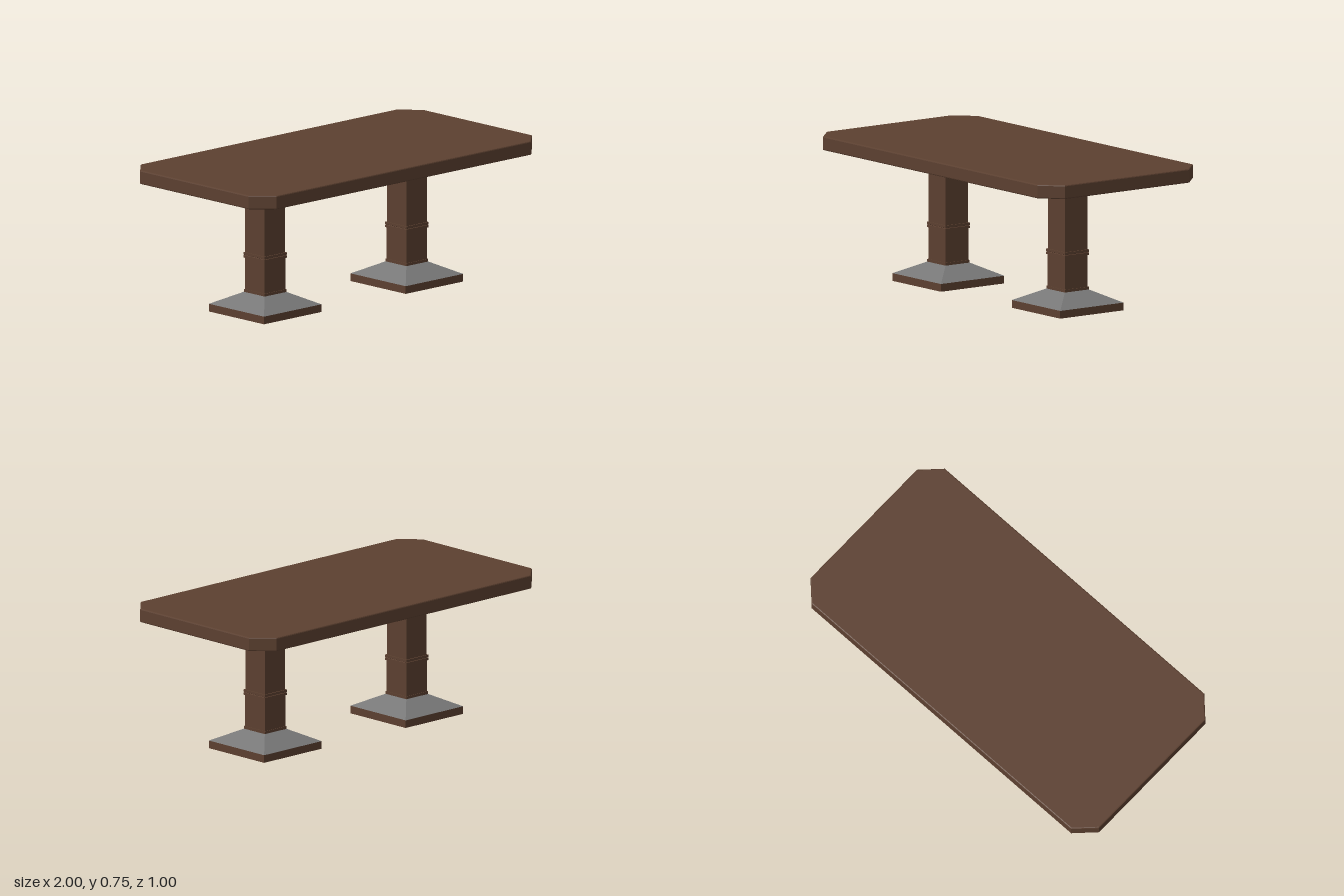
import * as THREE from 'three';

const material = (color) =>
  new THREE.MeshStandardMaterial({ color, flatShading: true, side: THREE.DoubleSide });

// Square turned part: profile of [half width, height], listed from bottom to top
function squareLathe(name, profile, mat) {
  const points = profile.map(([half, y]) => new THREE.Vector2(half * Math.SQRT2, y));
  const mesh = new THREE.Mesh(new THREE.LatheGeometry(points, 4, Math.PI / 4), mat);
  mesh.name = name;
  return mesh;
}

// Rectangle with clipped corners and a fine bevel around both faces
function tabletop(mat) {
  const bevel = 0.006, x = 1 - bevel, z = 0.5 - bevel, cut = 0.097;
  const shape = new THREE.Shape([
    [x, z - cut], [x - cut, z], [-x + cut, z], [-x, z - cut],
    [-x, -z + cut], [-x + cut, -z], [x - cut, -z], [x, -z + cut],
  ].map(([a, b]) => new THREE.Vector2(a, b)));
  const geometry = new THREE.ExtrudeGeometry(shape, {
    depth: 0.072 - 2 * bevel, bevelThickness: bevel, bevelSize: bevel, bevelSegments: 2,
  });
  geometry.rotateX(-Math.PI / 2).translate(0, 0.68 + bevel, 0);
  const mesh = new THREE.Mesh(geometry, mat);
  mesh.name = 'tabletop';
  return mesh;
}

function pedestal(wood, metal) {
  const group = new THREE.Group();
  group.add(
    // Open plinth frame
    squareLathe('plinth', [[0.165, 0.04], [0.165, 0], [0.203, 0], [0.203, 0.04]], wood),
    // Sloping foot, hollow below
    squareLathe('foot', [[0.203, 0.04], [0.077, 0.104]], metal),
    // Hollow column with base, middle and top collars
    squareLathe('column', [
      [0.072, 0.104], [0.077, 0.104], [0.077, 0.118], [0.073, 0.118],
      [0.073, 0.283], [0.078, 0.283], [0.078, 0.295], [0.075, 0.297], [0.078, 0.299],
      [0.078, 0.311], [0.072, 0.311],
      [0.072, 0.622], [0.078, 0.622], [0.078, 0.635],
    ], wood),
    // Flared bracket under the top
    squareLathe('bracket', [[0.078, 0.635], [0.09, 0.642], [0.14, 0.656], [0.25, 0.681]], metal),
  );
  return group;
}

export function createModel() {
  const model = new THREE.Group();
  model.name = 'table';
  const wood = material(0x5c4030), metal = material(0x777777);
  model.add(tabletop(wood));
  for (const side of [-1, 1]) {
    const leg = pedestal(wood, metal);
    leg.name = side > 0 ? 'leftPedestal' : 'rightPedestal';
    leg.position.x = side * 0.5;
    model.add(leg);
  }
  return model;
}
